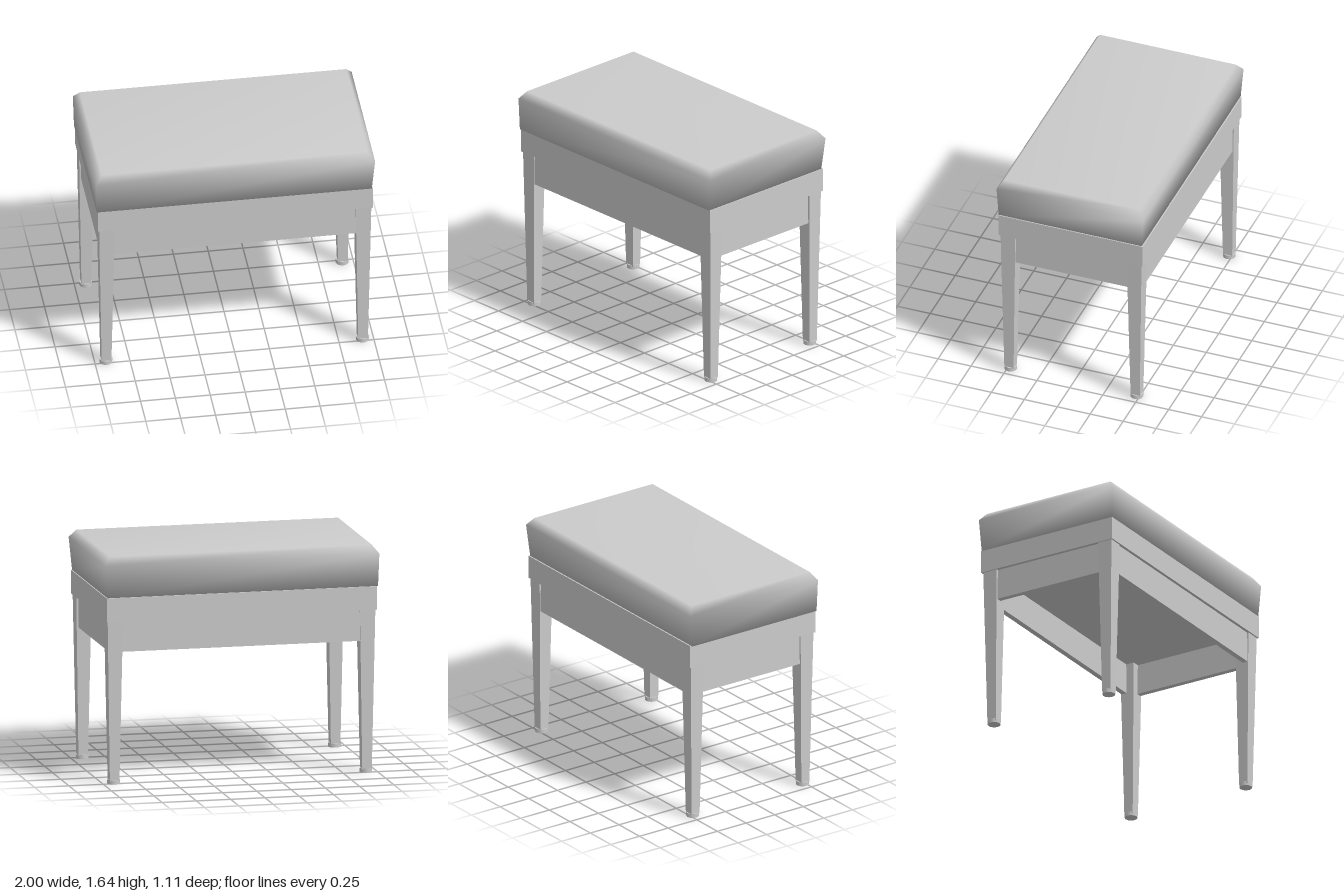
import * as THREE from 'three';

const material = new THREE.MeshStandardMaterial({ color: 0xcccccc });

function add(parent, name, geometry, x = 0, y = 0, z = 0) {
  const mesh = new THREE.Mesh(geometry, material);
  mesh.name = name;
  mesh.position.set(x, y, z);
  parent.add(mesh);
  return mesh;
}

// Padded seat: rectangular rings [y, xMin, xMax, zMin, zMax] joined with shared, smooth corners
function cushionGeometry() {
  const rings = [
    [1.348, -0.995, 0.977, -0.537, 0.548],
    [1.587, -1.0, 1.0, -0.557, 0.557],
    [1.645, -0.955, 0.955, -0.515, 0.515],
  ];
  const points = [];
  const index = [];
  for (const [y, x0, x1, z0, z1] of rings) {
    points.push(x0, y, z1, x1, y, z1, x1, y, z0, x0, y, z0);
  }
  for (let r = 0; r < rings.length - 1; r++) {
    for (let i = 0; i < 4; i++) {
      const a = r * 4 + i;
      const b = r * 4 + (i + 1) % 4;
      index.push(a, b, b + 4, a, b + 4, a + 4);
    }
  }
  const t = (rings.length - 1) * 4;
  index.push(t, t + 1, t + 2, t, t + 2, t + 3, 0, 2, 1, 0, 3, 2);
  const geometry = new THREE.BufferGeometry();
  geometry.setAttribute('position', new THREE.Float32BufferAttribute(points, 3));
  geometry.setIndex(index);
  geometry.computeVertexNormals();
  return geometry;
}

// Square leg, narrower at the foot; both ends are centred on the same axis
function legGeometry(height, top, bottom) {
  const geometry = new THREE.BoxGeometry(top, height, top);
  const p = geometry.attributes.position;
  for (let i = 0; i < p.count; i++) {
    if (p.getY(i) < 0) {
      p.setX(i, Math.sign(p.getX(i)) * bottom / 2);
      p.setZ(i, Math.sign(p.getZ(i)) * bottom / 2);
    }
  }
  geometry.computeVertexNormals();
  return geometry;
}

export function createModel() {
  const bench = new THREE.Group();
  bench.name = 'bench';

  add(bench, 'cushion', cushionGeometry());
  add(bench, 'seatFrame', new THREE.BoxGeometry(1.97, 0.17, 1.094), 0, 1.265, 0);

  // Apron boards under the frame
  const longApron = new THREE.BoxGeometry(1.76, 0.225, 0.04);
  const shortApron = new THREE.BoxGeometry(0.04, 0.225, 0.87);
  for (const s of [1, -1]) {
    add(bench, s > 0 ? 'frontApron' : 'backApron', longApron, 0, 1.0685, s * 0.505);
    add(bench, s > 0 ? 'leftApron' : 'rightApron', shortApron, s * 0.94, 1.0685, 0);
  }

  // Tapered legs on small round feet
  const leg = legGeometry(1.16, 0.112, 0.07);
  const foot = new THREE.CylinderGeometry(0.046, 0.046, 0.03, 12);
  for (const x of [0.92, -0.92]) {
    for (const z of [0.479, -0.479]) {
      const name = (z > 0 ? 'front' : 'back') + (x > 0 ? 'Left' : 'Right');
      add(bench, name + 'Leg', leg, x, 0.602, z);
      add(bench, name + 'Foot', foot, x, 0.015, z);
    }
  }
  return bench;
}
